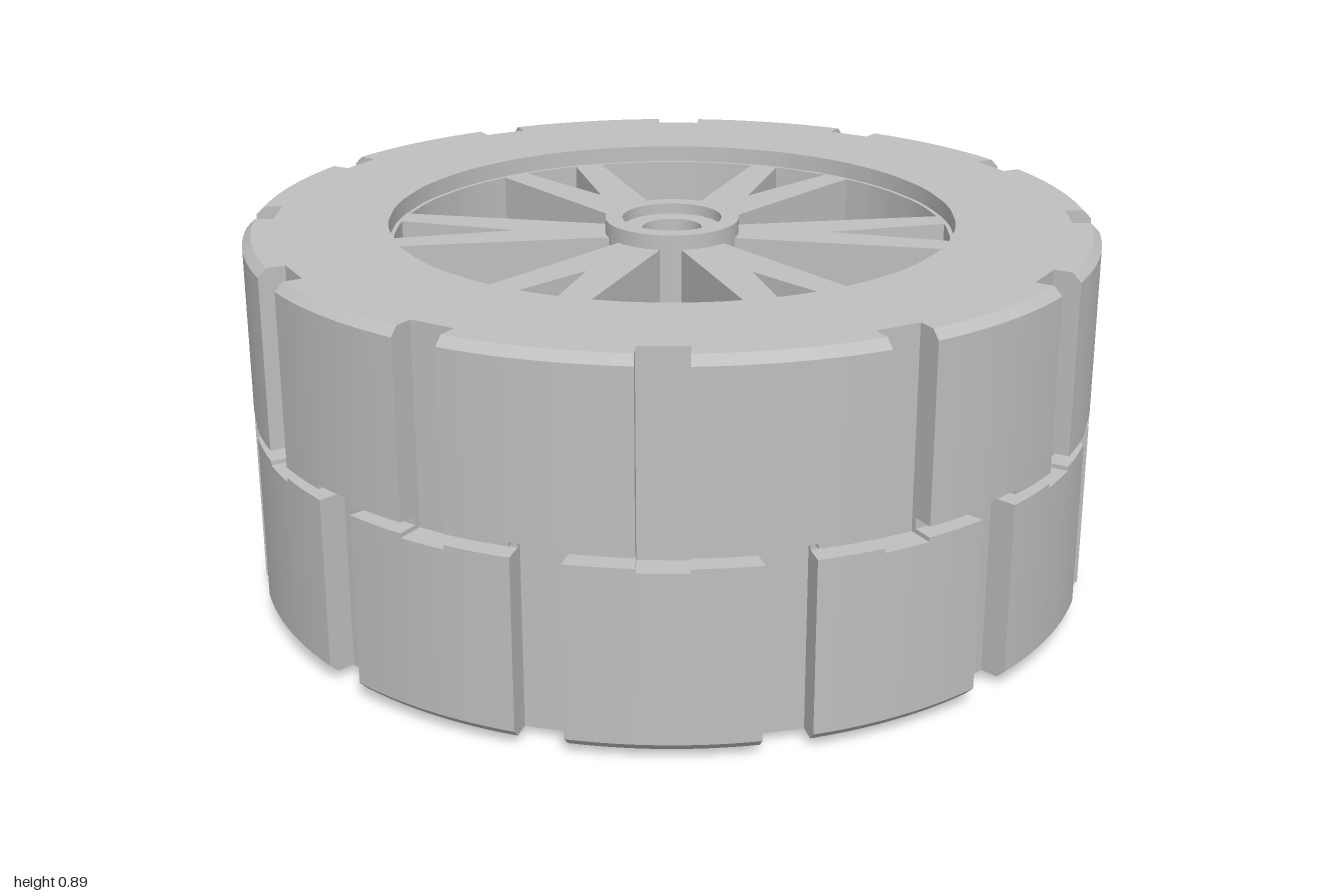
import * as THREE from 'three';
import { toCreasedNormals } from 'three/addons/utils/BufferGeometryUtils.js';

const SLOTS = 24;        // tread slots, alternating between lower and upper ring
const HALF = 0.055;      // half width of a tread notch
const FLOOR = 0.935;     // notch floor distance from the axle
const ARC_STEPS = 4;

// One closed outline of the tyre at height y. Notched slots are cut flat:
// 'U' cuts even slots, 'L' odd slots, 'UL' both, '' none.
function outline(y, R, cuts) {
  const pts = [];
  const pitch = (Math.PI * 2) / SLOTS;
  const edge = R < 0.9 ? 0.09 : Math.asin(HALF / R);
  const mid = R < 0.9 ? 0.0588 : edge / 2;
  const onCircle = (t) => pts.push([R * Math.sin(t), y, R * Math.cos(t)]);
  for (let k = 0; k < SLOTS; k++) {
    const a = k * pitch;
    const cut = cuts.includes(k % 2 ? 'L' : 'U');
    onCircle(a - edge);
    for (const s of [-1, 1]) {
      if (cut) {
        pts.push([
          FLOOR * Math.sin(a) + s * HALF * Math.cos(a), y,
          FLOOR * Math.cos(a) - s * HALF * Math.sin(a),
        ]);
      } else onCircle(a + s * mid);
    }
    onCircle(a + edge);
    for (let i = 1; i < ARC_STEPS; i++) {
      onCircle(a + edge + ((pitch - 2 * edge) * i) / ARC_STEPS);
    }
  }
  return pts;
}

// Skin a closed loop of outlines
function loft(rings) {
  const n = rings[0].length, m = rings.length;
  const index = [];
  for (let i = 0; i < m; i++) {
    const i2 = (i + 1) % m;
    for (let j = 0; j < n; j++) {
      const j2 = (j + 1) % n;
      const a = i * n + j, b = i * n + j2, c = i2 * n + j2, d = i2 * n + j;
      index.push(a, b, c, a, c, d);
    }
  }
  const g = new THREE.BufferGeometry();
  g.setAttribute('position', new THREE.Float32BufferAttribute(rings.flat(2), 3));
  g.setIndex(index);
  return toCreasedNormals(g, 0.5);
}

export function createModel() {
  const group = new THREE.Group();
  const grey = new THREE.MeshStandardMaterial({ color: 0xbfbfbf });
  grey.name = 'light grey';

  const add = (name, geometry) => {
    const mesh = new THREE.Mesh(geometry, grey);
    mesh.name = name;
    group.add(mesh);
    return mesh;
  };

  // Tyre and rim: two treads with staggered notches and a groove between
  add('tyre', loft([
    [0.02, 0.655, ''],
    [0.02, 0.98, 'L'], [0.04, 1, 'L'],
    [0.43, 1, 'L'], [0.43, 1, 'UL'], [0.44, 1, 'UL'],
    [0.44, 0.95, 'UL'], [0.465, 0.95, 'UL'],
    [0.465, 1, 'UL'], [0.475, 1, 'UL'], [0.475, 1, 'U'],
    [0.87, 1, 'U'], [0.89, 0.98, 'U'],
    [0.89, 0.665, ''], [0.85, 0.665, ''], [0.85, 0.655, ''],
  ].map((level) => outline(...level))));

  // Hub: long bored tube with a recessed top
  const hubProfile = [
    [0.07, 0], [0.158, 0], [0.158, 0.885], [0.117, 0.885],
    [0.117, 0.86], [0.07, 0.86], [0.07, 0],
  ].map(([r, y]) => new THREE.Vector2(r, y));
  add('hub', toCreasedNormals(new THREE.LatheGeometry(hubProfile, 48), 0.5));

  // Six forked spokes
  const fork = new THREE.Shape([
    [0.14, -0.055], [0.643, -0.14], [0.653, -0.072], [0.37, 0],
    [0.653, 0.072], [0.643, 0.14], [0.14, 0.055],
  ].map(([x, y]) => new THREE.Vector2(x, y)));
  const forkGeometry = new THREE.ExtrudeGeometry(fork, { depth: 0.2, bevelEnabled: false });
  forkGeometry.rotateX(-Math.PI / 2).translate(0, 0.65, 0);
  for (let i = 0; i < 6; i++) {
    add('forkedSpoke' + (i + 1), forkGeometry).rotation.y = (i * Math.PI) / 3;
  }

  return group;
}
